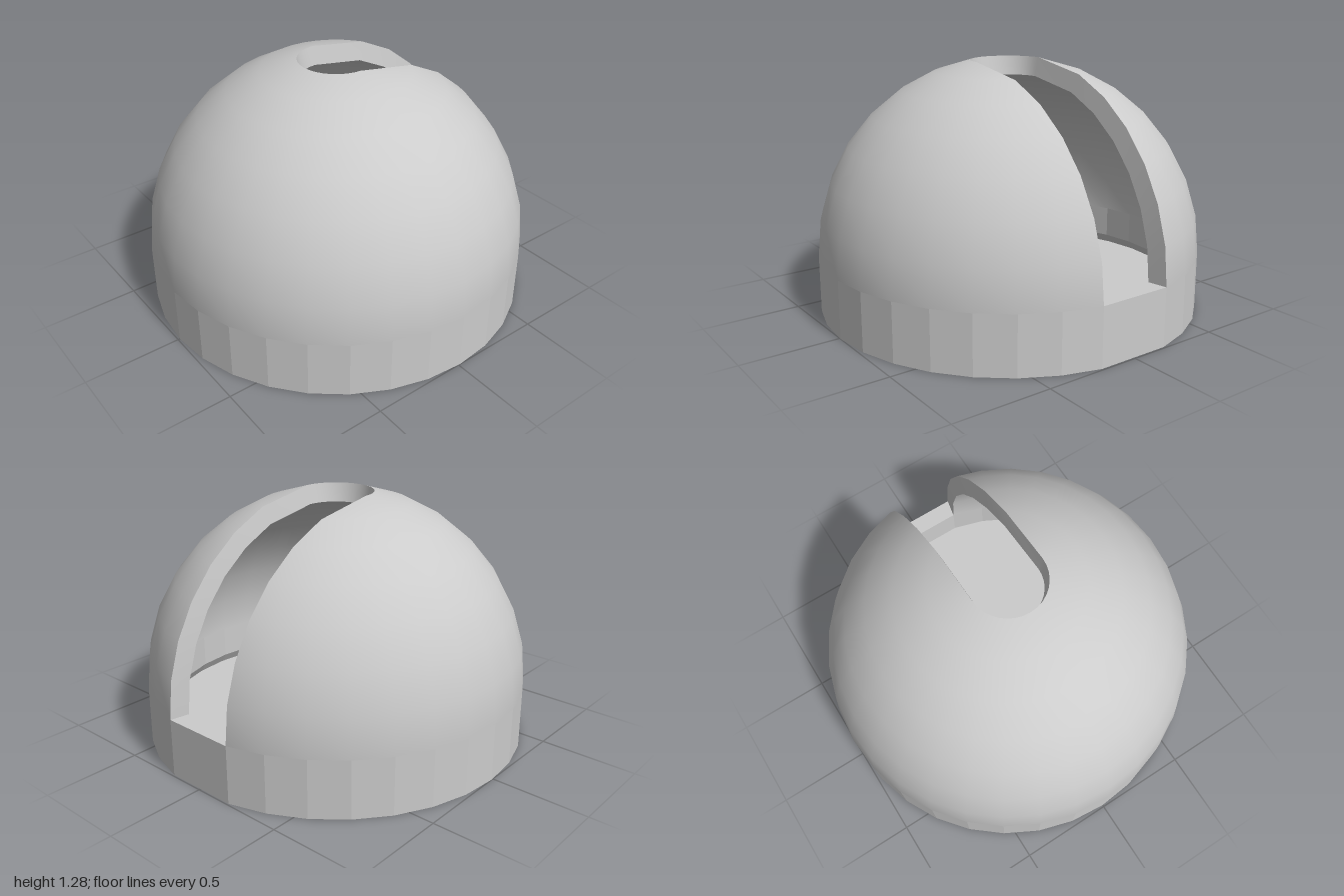
import * as THREE from 'three';
import { toCreasedNormals } from 'three/addons/utils/BufferGeometryUtils.js';

const STEP = Math.PI / 16;           // 32-sided dome, one back corner removed
const HALF_SLIT = Math.sin(STEP);    // half width of the opening
const COLS = 31, RINGS = 8;
const INNER = 0.9;                   // inner shell scale
const SPRING = 0.3;                  // height where the dome starts
const Z0 = -0.01;

const angle = (j) => (j - 15) * STEP; // 0 is the front

// Skin a grid of points; rows run downwards, columns to the right
function skin(rows, closed) {
  const n = rows[0].length, index = [];
  for (let i = 0; i < rows.length - 1; i++) {
    for (let j = 0; j < (closed ? n : n - 1); j++) {
      const a = i * n + j, b = i * n + (j + 1) % n;
      index.push(a, a + n, b + n, a, b + n, b);
    }
  }
  const g = new THREE.BufferGeometry();
  g.setFromPoints(rows.flat());
  g.setIndex(index);
  return g;
}

// Point on the unit dome, pushed sideways to the slit edge at the back
function domePoint(i, j) {
  const r = Math.sin(i * STEP), y = Math.cos(i * STEP), a = angle(j);
  let x = r * Math.sin(a), z = r * Math.cos(a);
  if (z < 0 && Math.abs(x) < HALF_SLIT) {
    x = Math.sign(x) * HALF_SLIT;
    z = -Math.sqrt(Math.max(0, r * r - HALF_SLIT * HALF_SLIT));
  }
  return new THREE.Vector3(x, y, z);
}

// Dome shell with spherical normals
function shell(rings, scale, side) {
  const rows = rings.map((i) => Array.from({ length: COLS }, (_, j) => domePoint(i, j)));
  const normals = rows.flat().flatMap((p) => p.clone().normalize().multiplyScalar(side).toArray());
  const g = skin(rows.map((row) => row.map((p) => p.clone().multiplyScalar(scale))), false);
  g.setAttribute('normal', new THREE.Float32BufferAttribute(normals, 3));
  return g;
}

// Faceted wall from a [radius, height] profile
function wall(profile) {
  const rows = profile.map(([r, y]) => Array.from({ length: COLS }, (_, j) =>
    new THREE.Vector3(r * Math.sin(angle(j)), y - SPRING, r * Math.cos(angle(j)))));
  return toCreasedNormals(skin(rows, true), 0.02);
}

export function createModel() {
  const group = new THREE.Group();
  group.name = 'slottedDome';
  const add = (name, geometry) => {
    const mesh = new THREE.Mesh(geometry, new THREE.MeshStandardMaterial({ color: 0xcccccc }));
    mesh.name = name;
    mesh.position.set(0, SPRING, Z0);
    group.add(mesh);
  };

  const down = Array.from({ length: RINGS }, (_, k) => k + 1);
  const up = [...down].reverse();
  add('domeOuter', shell(down, 1, 1));
  add('domeInner', shell(up, INNER, -1));

  // Lip around the slit: up one edge, round the crown, down the other, along the sill
  const edge = [
    ...up.slice(0, -1).map((i) => domePoint(i, COLS - 1)),
    ...Array.from({ length: 17 }, (_, k) => domePoint(1, 23 - k)),
    ...down.slice(1).map((i) => domePoint(i, 0)),
  ];
  const lip = skin([edge, edge.map((p) => p.clone().multiplyScalar(INNER))], true);
  add('slitLip', toCreasedNormals(lip, 0.7));

  // Base drum with its underside, then the inside wall and floor
  add('baseOuter', wall([[1, SPRING], [1, 0], [0, 0]]));
  add('baseInner', wall([[0, 0.08], [0.93, 0.08], [INNER, 0.13], [INNER, SPRING]]));
  return group;
}
